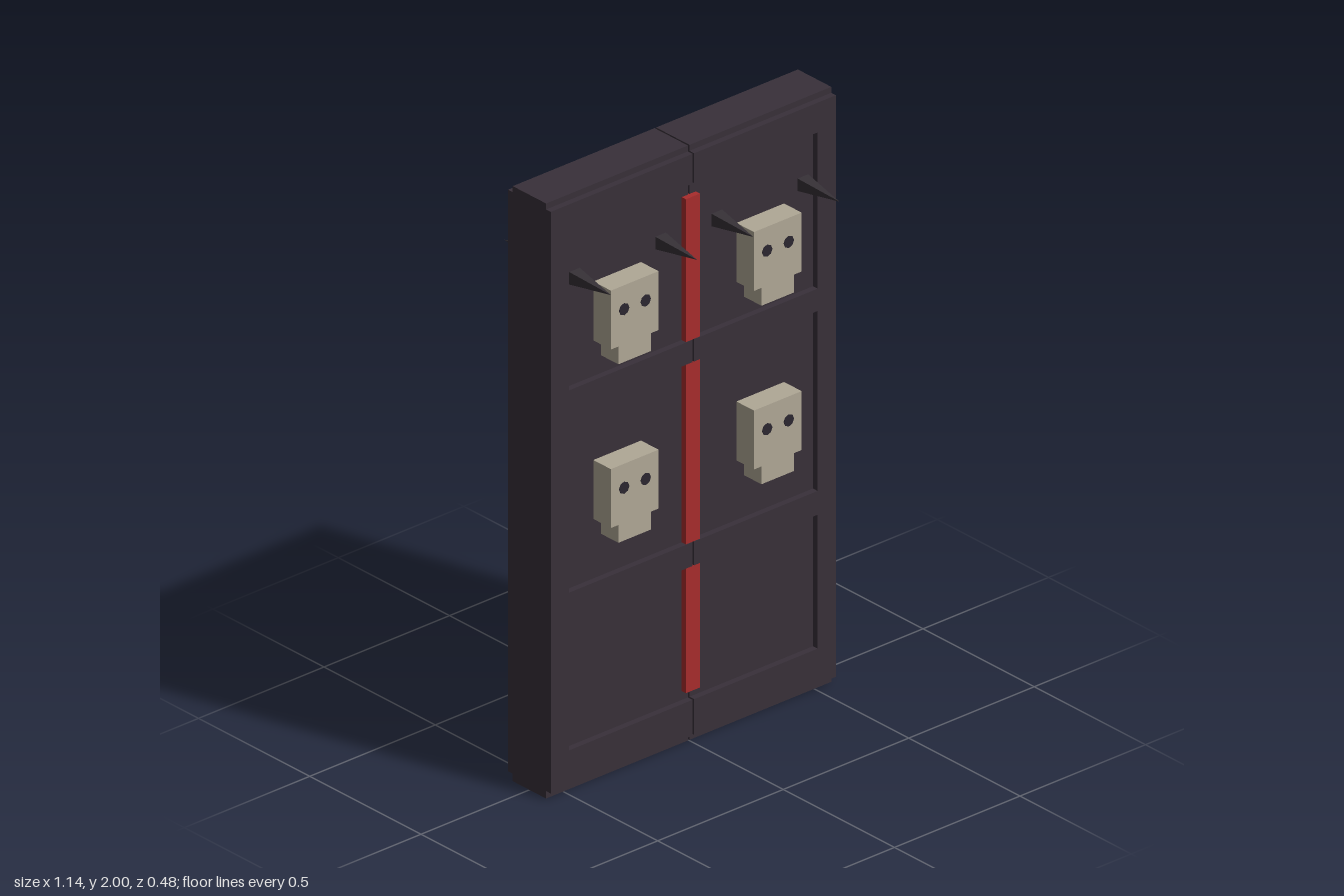
import * as THREE from 'three';

const mat = (name, color) => {
  const m = new THREE.MeshStandardMaterial({ color });
  m.name = name;
  return m;
};

export function createModel() {
  const wood = mat('dark wood', 0x383039);
  const spikeMat = mat('dark iron', 0x353035);
  const bone = mat('bone', 0xb0a896);
  const red = mat('red', 0xa82c2c);
  const eyeMat = mat('eye socket', 0x2b2630);

  const model = new THREE.Group();
  model.name = 'doubleDoor';

  // Box given by its limits on each axis
  const box = (parent, name, material, x0, x1, y0, y1, z0, z1) => {
    const mesh = new THREE.Mesh(new THREE.BoxGeometry(x1 - x0, y1 - y0, z1 - z0), material);
    mesh.position.set((x0 + x1) / 2, (y0 + y1) / 2, (z0 + z1) / 2);
    mesh.name = name;
    parent.add(mesh);
  };

  const W = 0.568, GAP = 0.003, CORE = 0.075, FACE = 0.096, PANEL = 0.495;
  const rails = [[0.025, 0.145], [0.595, 0.675], [1.28, 1.355], [1.88, 1.98]];

  // Two leaves: core slab, with a raised stile and rails on both faces
  for (const s of [-1, 1]) {
    const leaf = new THREE.Group();
    leaf.name = s > 0 ? 'leftLeaf' : 'rightLeaf';
    const span = (a, b) => (s > 0 ? [a, b] : [-b, -a]);
    box(leaf, 'slab', wood, ...span(GAP, W), 0, 2, -CORE, CORE);
    for (const f of [-1, 1]) {
      const depth = f > 0 ? [CORE, FACE] : [-FACE, -CORE];
      box(leaf, 'stile', wood, ...span(PANEL, W), 0.025, 1.98, ...depth);
      for (const [y0, y1] of rails) box(leaf, 'rail', wood, ...span(GAP, PANEL), y0, y1, ...depth);
    }
    model.add(leaf);
  }

  // Red centre strips and the dark pieces closing the gap between them
  for (const [y0, y1] of [[0.175, 0.595], [0.675, 1.28], [1.355, 1.835]])
    box(model, 'centreStrip', red, -0.028, 0.028, y0, y1, -0.094, 0.094);
  for (const [y0, y1] of rails.slice(1, 3))
    box(model, 'gapFiller', wood, -GAP, GAP, y0, y1, -0.085, 0.085);

  // Skull: one stepped outline extruded, with flat eye sockets
  const outline = [[-0.095, 0.06], [-0.065, 0.06], [-0.065, 0], [0.065, 0],
    [0.065, 0.06], [0.095, 0.06], [0.095, 0.258], [-0.095, 0.258]];
  const skullGeo = new THREE.ExtrudeGeometry(
    new THREE.Shape(outline.map(([x, y]) => new THREE.Vector2(x, y))),
    { depth: 0.08, bevelEnabled: false });
  const eyeGeo = new THREE.CylinderGeometry(0.02, 0.02, 0.004, 8).rotateX(Math.PI / 2);

  const makeSkull = () => {
    const skull = new THREE.Group();
    skull.name = 'skull';
    const head = new THREE.Mesh(skullGeo, bone);
    head.name = 'head';
    skull.add(head);
    for (const x of [-0.043, 0.043]) {
      const eye = new THREE.Mesh(eyeGeo, eyeMat);
      eye.name = 'eyeSocket';
      eye.position.set(x, 0.178, 0.08);
      skull.add(eye);
    }
    return skull;
  };

  // Square spike pointing along +z
  const spikeGeo = new THREE.ConeGeometry(0.021 * Math.SQRT2, 0.165, 4, 1).toNonIndexed();
  spikeGeo.rotateY(Math.PI / 4).rotateX(Math.PI / 2).translate(0, 0, 0.0825);
  spikeGeo.computeVertexNormals();

  // Ornaments repeated on the front and the back
  for (const turn of [0, Math.PI]) {
    const side = new THREE.Group();
    side.name = turn ? 'backOrnaments' : 'frontOrnaments';
    for (const x of [-0.285, 0.285])
      for (const y of [0.815, 1.415]) {
        const skull = makeSkull();
        skull.position.set(x, y, CORE - 0.001);
        side.add(skull);
      }
    for (const x of [-0.455, -0.112, 0.112, 0.455]) {
      const spike = new THREE.Mesh(spikeGeo, spikeMat);
      spike.name = 'spike';
      spike.position.set(x, 1.717, CORE);
      side.add(spike);
    }
    side.rotation.y = turn;
    model.add(side);
  }
  return model;
}
